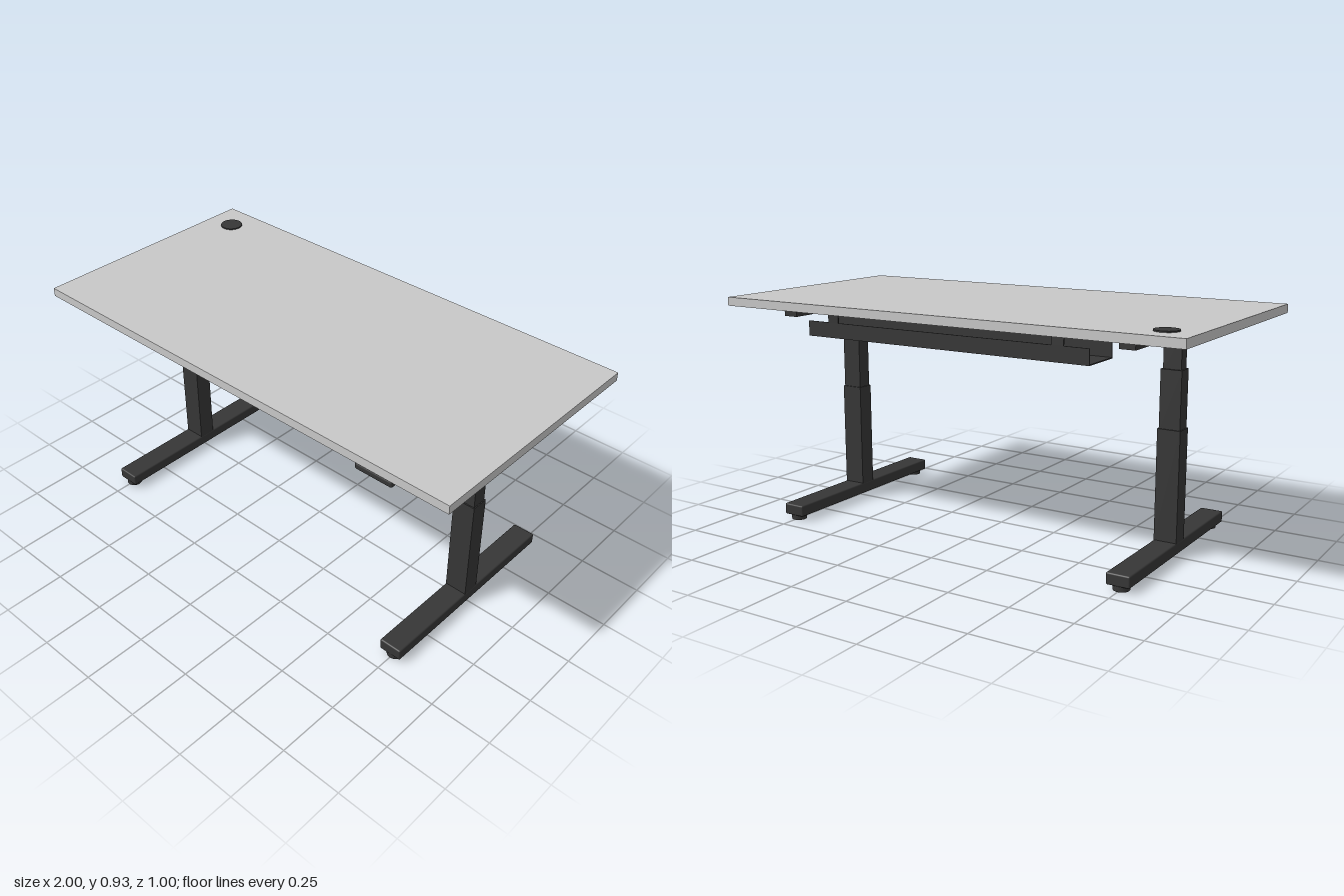
import * as THREE from 'three';
import { RoundedBoxGeometry } from 'three/addons/geometries/RoundedBoxGeometry.js';

export function createModel() {
  const desk = new THREE.Group();
  desk.name = 'standingDesk';
  const topGrey = new THREE.MeshStandardMaterial({ color: 0xc8c8c8 });
  topGrey.name = 'lightGrey';
  const steel = new THREE.MeshStandardMaterial({ color: 0x363636 });
  steel.name = 'darkSteel';

  const add = (name, geometry, material, parent = desk) => {
    const mesh = new THREE.Mesh(geometry, material);
    mesh.name = name;
    parent.add(mesh);
    return mesh;
  };
  // Box given by its limits on each axis; r > 0 rounds the edges
  const box = (name, [x0, x1], [y0, y1], [z0, z1], parent = desk, material = steel, r = 0) => {
    const size = [x1 - x0, y1 - y0, z1 - z0];
    const geometry = r ? new RoundedBoxGeometry(...size, 2, r) : new THREE.BoxGeometry(...size);
    const mesh = add(name, geometry, material, parent);
    mesh.position.set((x0 + x1) / 2, (y0 + y1) / 2, (z0 + z1) / 2);
    return mesh;
  };
  const disc = (name, r, [y0, y1], x, z, parent = desk) => {
    const mesh = add(name, new THREE.CylinderGeometry(r, r, y1 - y0, 32), steel, parent);
    mesh.position.set(x, (y0 + y1) / 2, z);
  };

  // Tabletop with cable grommet
  box('tabletop', [-1, 1], [0.89, 0.925], [-0.5, 0.5], desk, topGrey);
  disc('grommetCap', 0.046, [0.92, 0.93], -0.88, -0.38);
  disc('grommetSleeve', 0.036, [0.884, 0.922], -0.88, -0.38);

  // Telescopic legs, each with foot, pads and a side bracket
  for (const side of [-1, 1]) {
    const leg = new THREE.Group();
    leg.name = side > 0 ? 'leftLeg' : 'rightLeg';
    leg.position.x = side * 0.75;
    desk.add(leg);
    box('foot', [-0.047, 0.047], [0.02, 0.066], [-0.436, 0.436], leg, steel, 0.006);
    for (const z of [-0.402, 0.402]) disc('footPad', 0.031, [0, 0.022], 0, z, leg);
    box('lowerColumn', [-0.046, 0.046], [0.06, 0.5], [-0.036, 0.036], leg);
    box('middleColumn', [-0.042, 0.042], [0.49, 0.725], [-0.031, 0.031], leg);
    box('upperColumn', [-0.036, 0.036], [0.715, 0.865], [-0.023, 0.023], leg);
    box('sideBracket', [-0.031, 0.031], [0.853, 0.89], [-0.405, 0.408], leg);
  }

  // Long frame rails
  box('centreRail', [-0.72, 0.72], [0.842, 0.889], [-0.036, 0.036]);
  for (const z of [-0.25, 0.25]) {
    box('crossRail', [-0.725, 0.725], [0.855, 0.889], [z - 0.025, z + 0.025]);
  }

  // Open-ended cable tray hung from tabs, with the control box in front
  const tray = new THREE.Group();
  tray.name = 'cableTray';
  desk.add(tray);
  const trayX = [-0.625, 0.625];
  box('trayFloor', trayX, [0.79, 0.794], [-0.436, -0.262], tray);
  box('trayFrontWall', trayX, [0.79, 0.85], [-0.266, -0.262], tray);
  box('trayBackWall', trayX, [0.79, 0.85], [-0.436, -0.432], tray);
  for (const x of [-0.5, 0.5]) {
    box('trayTab', [x - 0.025, x + 0.025], [0.845, 0.89], [-0.436, -0.432], tray);
  }
  box('controlBox', [-0.165, 0.16], [0.79, 0.851], [-0.262, -0.114], desk, steel, 0.005);

  // Height keypad under the front edge
  box('keypad', [0.61, 0.77], [0.862, 0.889], [0.434, 0.499], desk, steel, 0.008);

  return desk;
}
